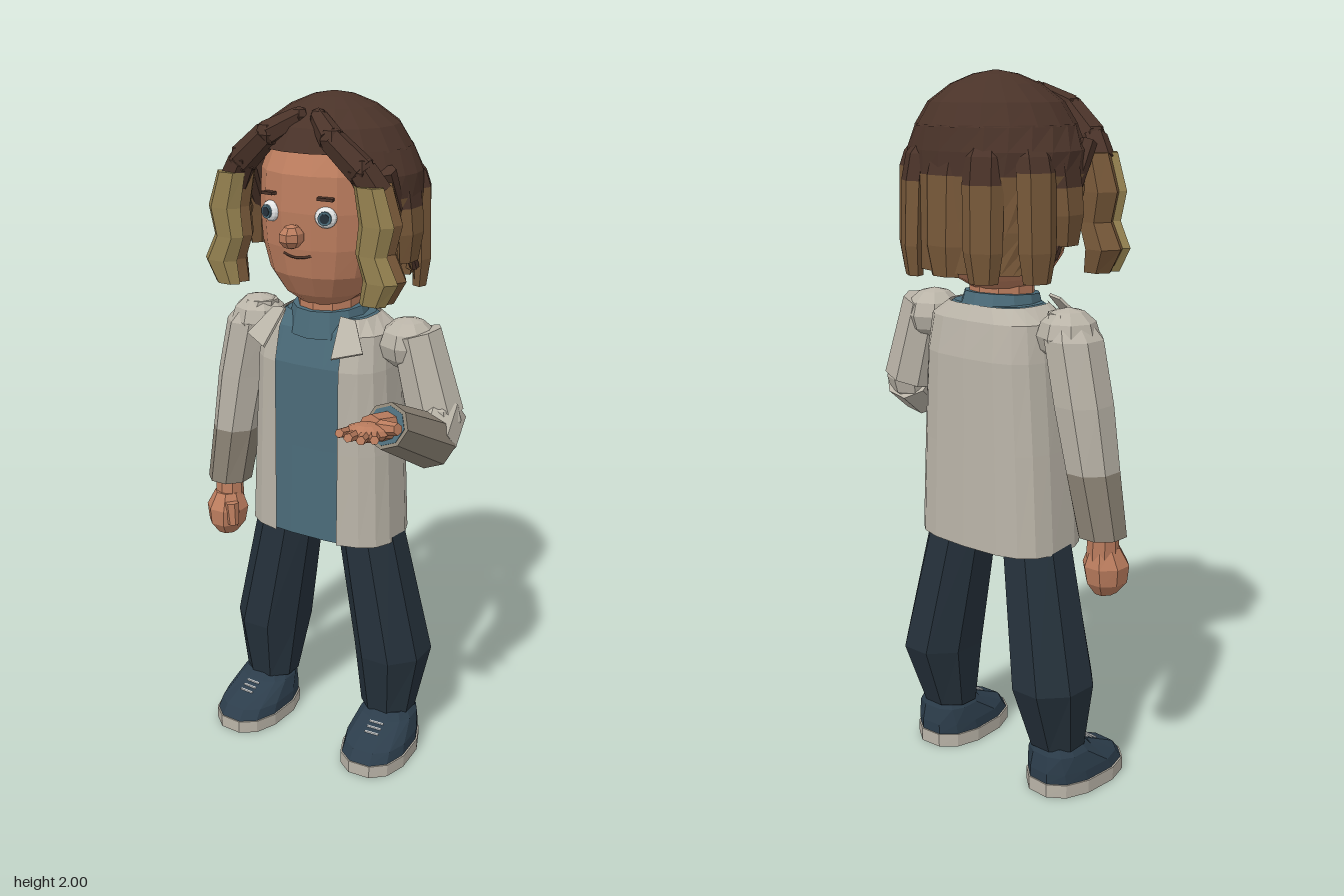
import * as THREE from 'three';

const mat = (name, color, side = THREE.FrontSide) => {
  const m = new THREE.MeshStandardMaterial({ color, side });
  m.name = name;
  return m;
};

// Facet any geometry
const flat = (g) => {
  const f = g.index ? g.toNonIndexed() : g;
  f.computeVertexNormals();
  return f;
};

// Stack of horizontal superellipse rings, lowest first: [y, cx, cz, rx, rz, gap]
// gap is the half angle left open at the front
function loft(rings, n = 8, p = 2, open = false) {
  const pos = [], idx = [];
  const pw = (v) => Math.sign(v) * Math.abs(v) ** (2 / p);
  const cols = n + 1;
  for (const [y, cx, cz, rx, rz, gap = 0] of rings) {
    for (let j = 0; j <= n; j++) {
      const t = open ? gap + (j / n) * (2 * Math.PI - 2 * gap) : ((j + 0.5) / n) * 2 * Math.PI;
      pos.push(cx + rx * pw(Math.sin(t)), y, cz + rz * pw(Math.cos(t)));
    }
  }
  for (let i = 0; i < rings.length - 1; i++) {
    for (let j = 0; j < n; j++) {
      const a = i * cols + j, b = a + 1, c = a + cols, d = c + 1;
      idx.push(a, b, d, a, d, c);
    }
  }
  if (!open) {
    const top = (rings.length - 1) * cols;
    for (let j = 1; j < n - 1; j++) idx.push(0, j + 1, j, top, top + j, top + j + 1);
  }
  const g = new THREE.BufferGeometry();
  g.setAttribute('position', new THREE.Float32BufferAttribute(pos, 3));
  g.setIndex(idx);
  return flat(g);
}

// Tapered cylinder between two points
function limb(a, b, ra, rb, n = 8) {
  const A = new THREE.Vector3(...a), B = new THREE.Vector3(...b);
  const d = B.clone().sub(A);
  const g = new THREE.CylinderGeometry(rb, ra, d.length(), n);
  g.applyQuaternion(new THREE.Quaternion().setFromUnitVectors(new THREE.Vector3(0, 1, 0), d.normalize()));
  g.translate(...A.add(B).multiplyScalar(0.5).toArray());
  return flat(g);
}

const ball = (x, y, z, rx, ry, rz, w = 8, h = 6) =>
  flat(new THREE.SphereGeometry(1, w, h).scale(rx, ry, rz).translate(x, y, z));

export function createModel() {
  const D = THREE.DoubleSide;
  const skin = mat('skin', 0xbd7e5f), hair = mat('darkHair', 0x4a3329, D), brown = mat('brownHair', 0x775839, D);
  const tan = mat('tanHair', 0x93804f), jacket = mat('jacketCloth', 0xbab4a8, D), cuff = mat('cuffCloth', 0x8d8476);
  const shirt = mat('shirtBlue', 0x4b6b79), shoeBlue = mat('shoeBlue', 0x2c3d4b), white = mat('white', 0xe4e6e6);
  const trouser = mat('trouserCloth', 0x25313b);

  const root = new THREE.Group();
  const body = new THREE.Group();
  body.name = 'body';
  body.position.x = -0.008;
  root.add(body);
  const add = (name, geo, m, parent = body) => {
    const o = new THREE.Mesh(geo, m);
    o.name = name;
    parent.add(o);
    return o;
  };

  // Head and neck
  add('head', loft([[1.425, 0, -0.13, 0.07, 0.08], [1.46, 0, -0.135, 0.12, 0.13], [1.52, 0, -0.14, 0.16, 0.17],
    [1.6, 0, -0.145, 0.183, 0.19], [1.7, 0, -0.145, 0.19, 0.197], [1.8, 0, -0.145, 0.185, 0.192],
    [1.88, 0, -0.15, 0.16, 0.16]], 16, 2.3), skin);
  add('neck', limb([0, 1.36, -0.135], [0, 1.48, -0.135], 0.092, 0.09, 10), skin);
  add('nose', ball(0, 1.64, 0.07, 0.034, 0.034, 0.04, 7, 5), skin);

  // Eyes, brows and mouth
  for (const s of [-1, 1]) {
    const eye = new THREE.Group();
    eye.name = 'eye';
    eye.position.set(s * 0.087, 1.695, 0.035);
    eye.rotation.y = s * 0.3;
    body.add(eye);
    const disc = (r, d) => new THREE.CylinderGeometry(r, r, d, 14).rotateX(Math.PI / 2);
    add('eyeWhite', ball(0, 0, 0, 0.031, 0.029, 0.017, 12, 8), white, eye);
    add('iris', disc(0.019, 0.008).translate(0, 0, 0.014), shirt, eye);
    add('pupil', disc(0.013, 0.008).translate(0, 0, 0.016), trouser, eye);
    add('brow', new THREE.BoxGeometry(0.044, 0.008, 0.024).rotateZ(-s * 0.05).translate(0, 0.05, 0.004), hair, eye);
  }
  const smile = new THREE.QuadraticBezierCurve3(new THREE.Vector3(-0.043, 1.586, 0.038),
    new THREE.Vector3(0, 1.569, 0.047), new THREE.Vector3(0.043, 1.586, 0.038));
  add('mouth', new THREE.TubeGeometry(smile, 8, 0.0035, 5), hair);

  // Hair crown and the curtain that hangs round the sides and back
  add('hairCrown', loft([[1.86, 0, -0.155, 0.225, 0.208], [1.92, 0, -0.155, 0.185, 0.176],
    [1.965, 0, -0.155, 0.12, 0.12], [1.99, 0, -0.155, 0.06, 0.06], [2.0, 0, -0.155, 0.005, 0.005]], 18), hair);
  add('hairCurtainTop', loft([[1.74, 0, -0.155, 0.262, 0.218, 0.95], [1.8, 0, -0.155, 0.258, 0.216, 0.8],
    [1.865, 0, -0.155, 0.222, 0.205, 0.55]], 18, 2, true), hair);
  add('hairCurtainTips', loft([[1.49, 0, -0.155, 0.24, 0.21, 1.85], [1.6, 0, -0.155, 0.25, 0.213, 1.4],
    [1.74, 0, -0.155, 0.262, 0.218, 0.95]], 18, 2, true), brown);

  // Hanging locks: [angle from the back, half width, hem height, colour break, inset]
  for (const [deg, w, hem, cut, inset] of [[0, 0.07, 1.48, 1.74, 0.018], [30, 0.055, 1.47, 1.72, 0], [64, 0.055, 1.47, 1.75, 0], [92, 0.065, 1.56, 1.71, 0.012]]) {
    for (const s of deg ? [-1, 1] : [1]) {
      const a = Math.PI + s * deg * Math.PI / 180;
      const lock = new THREE.Group();
      lock.name = 'hairLock';
      lock.position.set((0.25 - inset) * Math.sin(a), 0, -0.155 + (0.213 - inset) * Math.cos(a));
      lock.rotation.y = a;
      body.add(lock);
      add('lockRoot', loft([[cut, 0, 0, w, 0.032], [1.79, 0, -0.012, w * 0.95, 0.03], [1.86, 0, -0.06, w * 0.5, 0.02]], 6), hair, lock);
      add('lockTip', loft([[hem, 0, 0.004, w * 0.7, 0.022], [hem + 0.08, 0, 0.008, w * 0.95, 0.03],
        [cut, 0, 0, w, 0.032]], 6), brown, lock);
    }
  }

  // Parted fringe running into wavy front locks, with a dark strand swept back from each
  for (const s of [-1, 1]) {
    const path = [[0.03, 1.945, -0.02, 0.026], [0.1, 1.9, 0.03, 0.036], [0.185, 1.825, 0.02, 0.042], [0.222, 1.765, 0.005, 0.046]];
    for (let i = 0; i < 3; i++) {
      const [a, b] = [path[i], path[i + 1]];
      add('fringe', limb([s * a[0], a[1], a[2]], [s * b[0], b[1], b[2]], a[3], b[3], 6), hair);
      add('fringeJoint', ball(s * a[0], a[1], a[2], a[3], a[3], a[3], 6, 4), hair);
    }
    add('sweptStrand', limb([s * 0.225, 1.82, -0.045], [s * 0.236, 1.53, -0.2], 0.025, 0.014, 6), hair);
    const wave = (z, r, rz) => loft([[1.475, 0.232], [1.54, 0.255], [1.61, 0.226], [1.69, 0.24], [1.79, 0.215]]
      .map(([y, x], i) => [y, s * x, z, r * [0.75, 1, 0.9, 1, 0.85][i], rz * [0.7, 1, 0.9, 1, 0.9][i]]), 6);
    add('frontLock', wave(0.036, 0.053, 0.032), tan);
    add('frontLockBack', wave(-0.008, 0.055, 0.055), brown);
  }

  // Shirt, with the open jacket round it
  const torso = [[0.715, 0.238, 0.15, -0.15], [1.0, 0.224, 0.147, -0.148], [1.25, 0.208, 0.146, -0.146],
    [1.35, 0.195, 0.125, -0.15], [1.39, 0.14, 0.1, -0.15]];
  add('shirt', loft(torso.map(([y, rx, rz, cz]) => [y, 0, cz, rx - 0.012, rz - 0.012]), 24, 3), shirt);
  add('jacket', loft(torso.map(([y, rx, rz, cz]) => [y, 0, cz, rx, rz, Math.asin((0.104 / rx) ** 1.5)]), 16, 3, true), jacket);
  add('shirtCollar', limb([0, 1.34, -0.14], [0, 1.415, -0.135], 0.125, 0.105, 12), shirt);
  for (const s of [-1, 1]) {
    const flap = new THREE.Shape([[0, 0], [0.045, 0], [0.1, -0.09], [0.02, -0.13]].map(([x, y]) => new THREE.Vector2(s * x, y)));
    const o = add('lapel', flat(new THREE.ExtrudeGeometry(flap, { depth: 0.008, bevelEnabled: false })), jacket);
    o.position.set(s * 0.09, 1.4, -0.045);
    o.rotation.set(-0.75, s * 0.2, 0);
    add('shoulder', ball(s * 0.25, 1.325, -0.15, 0.085, 0.075, 0.085), jacket);
  }

  // Trousers and shoes
  for (const s of [-1, 1]) {
    add('trouserLeg', loft([[0.135, s * 0.215, -0.15, 0.086, 0.077], [0.33, s * 0.217, -0.17, 0.117, 0.13],
      [0.78, s * 0.13, -0.15, 0.1, 0.1]], 8), trouser);
    const shoe = new THREE.Group();
    shoe.name = 'shoe';
    shoe.position.x = s * 0.232;
    shoe.rotation.y = s * 0.06;
    body.add(shoe);
    add('sole', loft([[0, 0, -0.08, 0.106, 0.16], [0.04, 0, -0.08, 0.107, 0.16]], 12, 2.4), jacket, shoe);
    add('upper', loft([[0.04, 0, -0.08, 0.102, 0.156], [0.07, 0, -0.092, 0.1, 0.144],
      [0.12, 0, -0.143, 0.086, 0.084], [0.142, 0, -0.148, 0.07, 0.07]], 12, 2.4), shoeBlue, shoe);
    for (const z of [-0.05, -0.032, -0.014]) {
      add('lace', new THREE.BoxGeometry(0.045, 0.005, 0.005).translate(0, 0.12 - (z + 0.06) * 0.45, z), white, shoe);
    }
  }

  // Hanging right arm
  add('rightSleeve', loft([[0.97, -0.338, -0.14, 0.074, 0.082], [1.15, -0.31, -0.148, 0.082, 0.09],
    [1.32, -0.275, -0.15, 0.082, 0.088], [1.385, -0.25, -0.15, 0.05, 0.05]], 8), jacket, root);
  add('rightCuff', loft([[0.79, -0.365, -0.13, 0.069, 0.07], [0.97, -0.338, -0.14, 0.074, 0.082]], 8), cuff, root);
  add('rightWrist', limb([-0.365, 0.82, -0.125], [-0.36, 0.72, -0.12], 0.042, 0.045), skin, root);
  add('rightFist', loft([[0.615, -0.36, -0.105, 0.03, 0.035], [0.65, -0.362, -0.105, 0.058, 0.06],
    [0.7, -0.362, -0.108, 0.066, 0.066], [0.75, -0.362, -0.115, 0.042, 0.045]], 8), skin, root);
  add('rightThumb', limb([-0.32, 0.73, -0.07], [-0.312, 0.66, -0.065], 0.022, 0.017, 6), skin, root);

  // Bent left arm with an open palm
  add('leftSleeve', limb([0.265, 1.36, -0.15], [0.33, 1.13, -0.155], 0.075, 0.086), jacket, root);
  add('leftElbow', ball(0.335, 1.125, -0.145, 0.082, 0.075, 0.084), jacket, root);
  add('leftElbowFold', limb([0.333, 1.135, -0.165], [0.345, 1.07, -0.085], 0.083, 0.081), jacket, root);
  add('leftCuff', limb([0.345, 1.065, -0.1], [0.345, 1.2, 0.17], 0.079, 0.064), cuff, root);
  add('cuffLining', limb([0.345, 1.19, 0.15], [0.345, 1.201, 0.172], 0.054, 0.054), shirt, root);
  add('leftWrist', limb([0.345, 1.19, 0.14], [0.335, 1.215, 0.24], 0.042, 0.036), skin, root);
  const palm = add('leftPalm', ball(0, 0, 0, 0.058, 0.024, 0.066, 10, 6), skin, root);
  palm.position.set(0.342, 1.215, 0.27);
  palm.rotation.x = -0.15;
  for (const [x0, z0, x1, z1] of [[0.305, 0.305, 0.315, 0.365], [0.332, 0.315, 0.35, 0.382],
    [0.358, 0.312, 0.386, 0.382], [0.38, 0.3, 0.414, 0.362]]) {
    add('finger', limb([x0, 1.22, z0], [x1, 1.238, z1], 0.015, 0.012, 6), skin, root);
  }
  add('leftThumb', limb([0.365, 1.222, 0.24], [0.425, 1.235, 0.258], 0.021, 0.016, 6), skin, root);

  return root;
}
